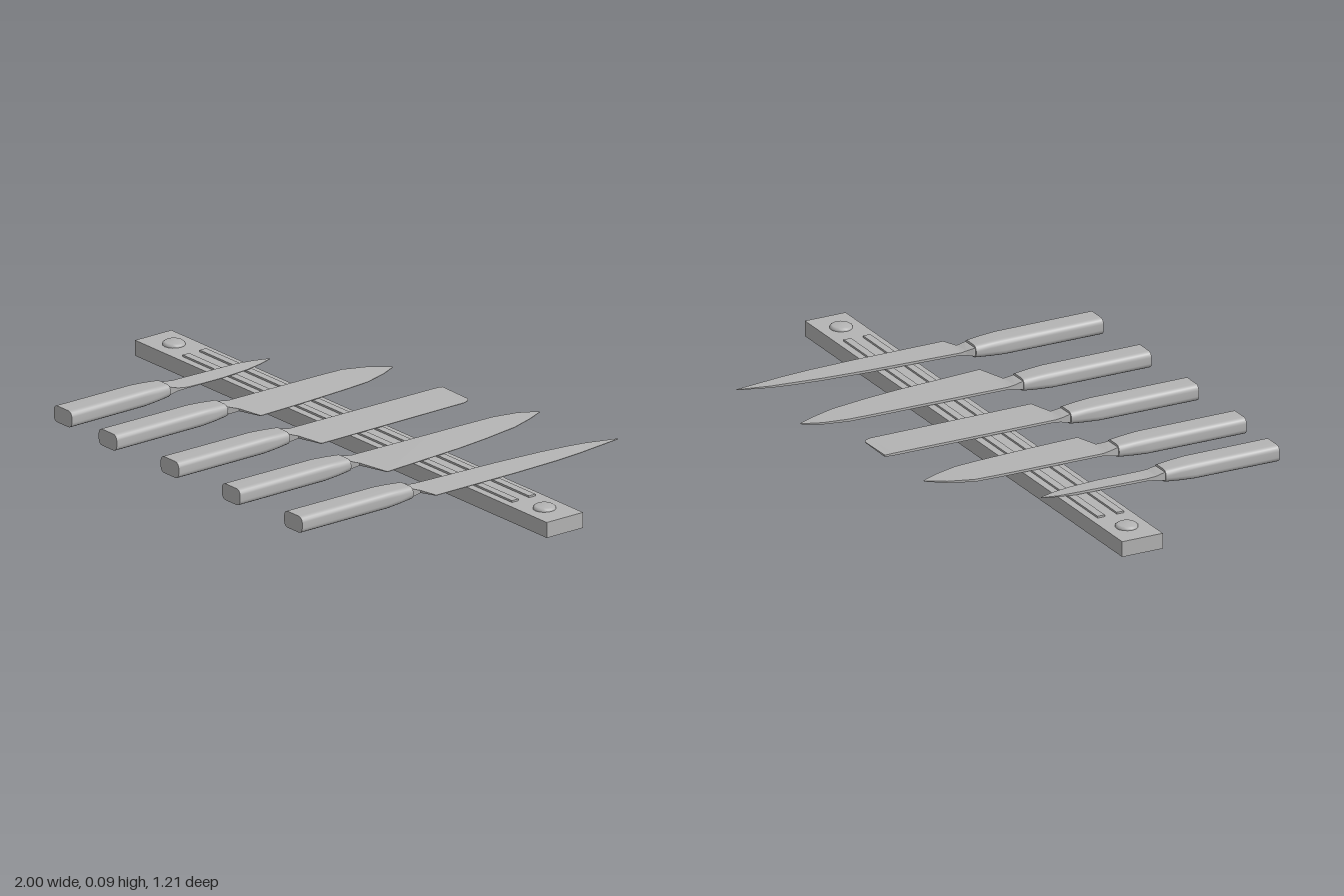
import * as THREE from 'three';

const steel = new THREE.MeshStandardMaterial({ color: 0xb4b4b4 });
steel.name = 'plain grey';
const MID_Y = 0.061;

// Skin a list of rings (each counter-clockwise seen from +z, running towards +z)
function loft(rings, flat) {
  const n = rings[0].length, pos = [], idx = [];
  rings.forEach((r) => r.forEach((p) => pos.push(...p)));
  for (let i = 0; i < rings.length - 1; i++) {
    for (let j = 0; j < n; j++) {
      const a = i * n + j, b = i * n + (j + 1) % n;
      idx.push(a, b, a + n, b, b + n, a + n);
    }
  }
  // End caps with their own vertices, so their edges stay sharp
  [rings[0], rings[rings.length - 1]].forEach((r, end) => {
    const base = pos.length / 3;
    r.forEach((p) => pos.push(...p));
    for (let j = 1; j < n - 1; j++) {
      if (end) idx.push(base, base + j, base + j + 1);
      else idx.push(base, base + j + 1, base + j);
    }
  });
  let g = new THREE.BufferGeometry();
  g.setAttribute('position', new THREE.Float32BufferAttribute(pos, 3));
  g.setIndex(idx);
  if (flat) g = g.toNonIndexed();
  g.computeVertexNormals();
  return g;
}

// Blade section: thick at the spine (left), thin at the cutting edge (right)
const bladeRing = ([z, xl, xr, t = 0.004, e = 0.001]) => [
  [xl, MID_Y - t, z], [xr, MID_Y - e, z], [xr, MID_Y + e, z], [xl, MID_Y + t, z],
];

// Handle section: rectangle with rounded corners
function handleRing(cx, z, w, h, r) {
  const pts = [];
  [[1, 1], [-1, 1], [-1, -1], [1, -1]].forEach(([sx, sy], q) => {
    for (let k = 0; k <= 4; k++) {
      const a = (q + k / 4) * Math.PI / 2;
      pts.push([cx + sx * (w / 2 - r) + r * Math.cos(a), MID_Y + sy * (h / 2 - r) + r * Math.sin(a), z]);
    }
  });
  return pts;
}

// Outlines run from tip to bolster: [z, spine x, edge x, half thickness, edge half thickness]
const knives = [
  { name: 'paringKnife', x: -0.6, start: 0.2, end: 0.587, blade: [
    [-0.21, -0.601, -0.597, 0.001], [-0.16, -0.615, -0.58, 0.002], [-0.1, -0.622, -0.567], [0, -0.625, -0.558],
    [0.06, -0.627, -0.558], [0.14, -0.629, -0.56, 0.004, 0.002], [0.17, -0.631, -0.565, 0.007, 0.005]] },
  { name: 'santokuKnife', x: -0.359, start: 0.17, end: 0.605, blade: [
    [-0.457, -0.316, -0.31, 0.001], [-0.4, -0.355, -0.283, 0.003], [-0.32, -0.384, -0.258], [-0.24, -0.387, -0.25],
    [-0.05, -0.389, -0.238], [0.115, -0.39, -0.232], [0.135, -0.391, -0.313, 0.007, 0.004]] },
  { name: 'cleaver', x: -0.058, start: 0.17, end: 0.605, blade: [
    [-0.466, -0.08, 0.042, 0.003], [-0.457, -0.083, 0.056, 0.003], [-0.435, -0.083, 0.064],
    [0.12, -0.086, 0.069], [0.14, -0.088, -0.018, 0.007, 0.004]] },
  { name: 'chefKnife', x: 0.24, start: 0.17, end: 0.605, blade: [
    [-0.565, 0.262, 0.268, 0.001], [-0.505, 0.234, 0.295, 0.003], [-0.425, 0.219, 0.323], [-0.3, 0.216, 0.345],
    [-0.185, 0.215, 0.36], [0.115, 0.21, 0.383], [0.14, 0.209, 0.28, 0.007, 0.004]] },
  { name: 'carvingKnife', x: 0.542, start: 0.17, end: 0.605, blade: [
    [-0.607, 0.593, 0.596, 0.001], [-0.505, 0.565, 0.61, 0.003], [-0.44, 0.555, 0.619], [-0.345, 0.543, 0.627],
    [-0.185, 0.531, 0.632], [0.125, 0.518, 0.633], [0.142, 0.517, 0.578, 0.007, 0.004]] },
];

function makeKnife({ name, x, start, end, blade }) {
  const knife = new THREE.Group();
  knife.name = name;
  // The blade swells into a bolster where it meets the handle
  const bolster = [[start - 0.005, x - 0.031, x + 0.031, 0.013, 0.012], [start + 0.01, x - 0.031, x + 0.031, 0.013, 0.013]];
  const bladeMesh = new THREE.Mesh(loft([...blade, ...bolster].map(bladeRing), true), steel);
  bladeMesh.name = 'blade';
  // Handle tapers towards the bolster
  const sections = [[start, 0.074, 0.04], [start + 0.05, 0.083, 0.047], [start + 0.1, 0.088, 0.052], [end, 0.088, 0.053]];
  const handle = new THREE.Mesh(loft(sections.map(([z, w, h]) => handleRing(x, z, w, h, 0.017))), steel);
  handle.name = 'handle';
  knife.add(bladeMesh, handle);
  return knife;
}

export function createModel() {
  const model = new THREE.Group();
  model.name = 'magneticKnifeRack';
  const add = (name, geometry, x, y, z) => {
    const m = new THREE.Mesh(geometry, steel);
    m.name = name;
    m.position.set(x, y, z);
    model.add(m);
  };

  // Wall bar with two magnetic rails
  add('bar', new THREE.BoxGeometry(2, 0.05, 0.14), 0, 0.025, -0.08);
  for (const s of [-1, 1]) {
    add('magnetRail', new THREE.BoxGeometry(1.6, 0.008, 0.025), 0, 0.052, -0.08 + s * 0.033);
  }

  // Screw heads at both ends
  const profile = [[0.035, 0], [0.035, 0.006], [0.028, 0.011], [0, 0.012]].map((p) => new THREE.Vector2(...p));
  for (const s of [-1, 1]) add('screwHead', new THREE.LatheGeometry(profile, 16), s * 0.9, 0.05, -0.08);

  knives.forEach((k) => model.add(makeKnife(k)));
  return model;
}
